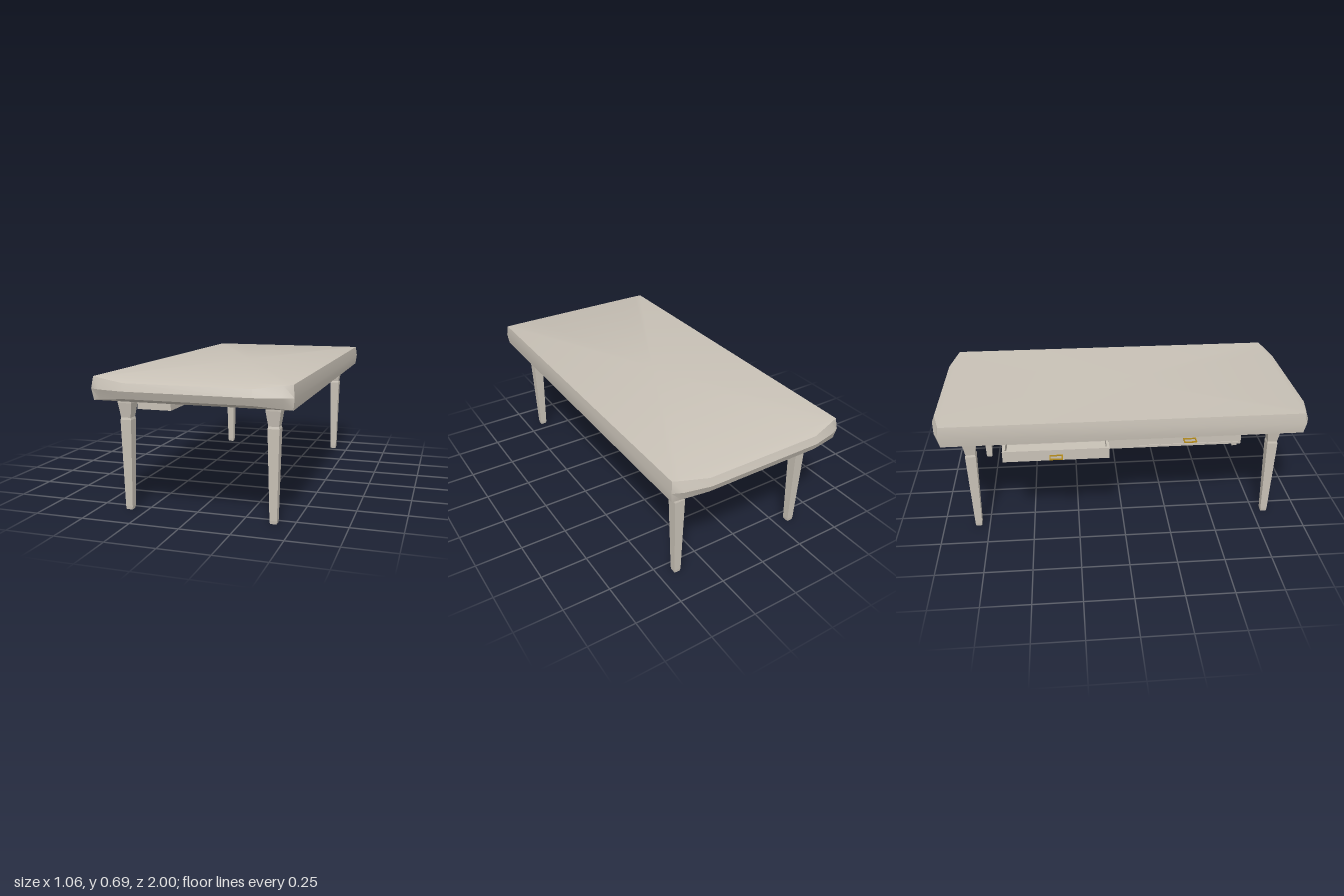
import * as THREE from 'three';
import { toCreasedNormals } from 'three/addons/utils/BufferGeometryUtils.js';

export function createModel() {
  const model = new THREE.Group();
  model.name = 'table';
  const wood = new THREE.MeshStandardMaterial({ name: 'pale wood', color: 0xc8c1b6 });
  const brass = new THREE.MeshStandardMaterial({ name: 'brass', color: 0xb38a1c });

  const add = (parent, name, geometry, material = wood) => {
    const mesh = new THREE.Mesh(geometry, material);
    mesh.name = name;
    parent.add(mesh);
    return mesh;
  };
  // box given by its minimum and maximum corners
  const box = (parent, name, [x0, y0, z0], [x1, y1, z1], material) => {
    const g = new THREE.BoxGeometry(x1 - x0, y1 - y0, z1 - z0);
    g.translate((x0 + x1) / 2, (y0 + y1) / 2, (z0 + z1) / 2);
    return add(parent, name, g, material);
  };

  // Tabletop: stacked outlines; each row is three [halfWidth, y, z] points from corner to end
  const rows = [
    [[0.482, 0.685, 0.94], [0.44, 0.685, 0.94], [0.31, 0.685, 0.94]],
    [[0.482, 0.685, 0.94], [0.44, 0.68, 0.952], [0.31, 0.665, 0.985]],
    [[0.489, 0.628, 0.95], [0.44, 0.628, 0.972], [0.31, 0.628, 1.0]],
    [[0.482, 0.572, 0.94], [0.44, 0.577, 0.952], [0.31, 0.591, 0.985]],
    [[0.482, 0.572, 0.94], [0.44, 0.572, 0.94], [0.31, 0.572, 0.94]],
  ];
  const centreX = 0.039;
  const loops = rows.map((row) => {
    const left = row.map(([w, y, z]) => [-w, y, z]);
    const front = [...left, ...[...row].reverse()];
    const back = front.map(([x, y, z]) => [-x, y, -z]);
    return [...front, ...back].map(([x, y, z]) => [x + centreX, y, z]);
  });
  const pos = [];
  const tri = (a, b, c) => pos.push(...a, ...b, ...c);
  const n = loops[0].length;
  const last = loops.length - 1;
  for (let i = 0; i < n; i++) {
    const j = (i + 1) % n;
    for (let r = 0; r < last; r++) {
      const a = loops[r][i], b = loops[r + 1][i], c = loops[r + 1][j], d = loops[r][j];
      tri(a, b, c);
      tri(a, c, d);
    }
    tri([centreX, 0.685, 0], loops[0][i], loops[0][j]);
    tri([centreX, 0.572, 0], loops[last][j], loops[last][i]);
  }
  const topGeometry = new THREE.BufferGeometry();
  topGeometry.setAttribute('position', new THREE.Float32BufferAttribute(pos, 3));
  add(model, 'tabletop', toCreasedNormals(topGeometry, 0.45));

  // Legs: square tapering profile with a small collar
  const legProfile = [
    [0, 0], [0.016, 0], [0.018, 0.016], [0.028, 0.456],
    [0.025, 0.467], [0.036, 0.54], [0.036, 0.575],
  ].map(([h, y]) => new THREE.Vector2(h * Math.SQRT2, y));
  const legGeometry = new THREE.LatheGeometry(legProfile, 4).rotateY(Math.PI / 4).toNonIndexed();
  legGeometry.computeVertexNormals();
  for (const x of [-0.333, 0.406]) {
    for (const z of [-0.81, 0.81]) {
      const leg = add(model, z > 0 ? 'frontLeg' : 'backLeg', legGeometry);
      leg.position.set(x, z > 0 ? 0.006 : 0, z);
    }
  }

  // Drawer case, open towards -x
  const drawerCase = new THREE.Group();
  drawerCase.name = 'drawerCase';
  model.add(drawerCase);
  box(drawerCase, 'caseFloor', [-0.37, 0.478, -0.64], [-0.185, 0.49, 0.63]);
  box(drawerCase, 'caseBack', [-0.197, 0.49, -0.64], [-0.185, 0.573, 0.63]);
  box(drawerCase, 'caseSide', [-0.37, 0.49, -0.64], [-0.197, 0.573, -0.63]);
  box(drawerCase, 'caseSide', [-0.37, 0.49, 0.62], [-0.197, 0.573, 0.63]);
  box(drawerCase, 'caseDivider', [-0.37, 0.49, -0.08], [-0.197, 0.573, 0.08]);

  // Drawers: open trays with a flat looped pull
  const makeDrawer = (name, frontX, z) => {
    const drawer = new THREE.Group();
    drawer.name = name;
    const d = 0.172, h = 0.273, t = 0.014;
    box(drawer, 'drawerFloor', [0, 0.495, -h], [d, 0.503, h]);
    box(drawer, 'drawerFront', [0, 0.503, -h], [t, 0.555, h]);
    box(drawer, 'drawerBack', [d - t, 0.503, -h], [d, 0.555, h]);
    for (const s of [-1, 1]) {
      const a = s * h, b = s * (h - t);
      box(drawer, 'drawerSide', [t, 0.503, Math.min(a, b)], [d - t, 0.555, Math.max(a, b)]);
      box(drawer, 'handleArm', [-0.042, 0.521, s * 0.031 - 0.003], [0, 0.527, s * 0.031 + 0.003], brass);
    }
    box(drawer, 'handleGrip', [-0.042, 0.521, -0.028], [-0.036, 0.527, 0.028], brass);
    box(drawer, 'handlePlate', [-0.005, 0.521, -0.028], [0, 0.527, 0.028], brass);
    drawer.position.set(frontX, 0, z);
    model.add(drawer);
  };
  makeDrawer('openDrawer', -0.488, -0.357);
  makeDrawer('closedDrawer', -0.374, 0.35);

  return model;
}
